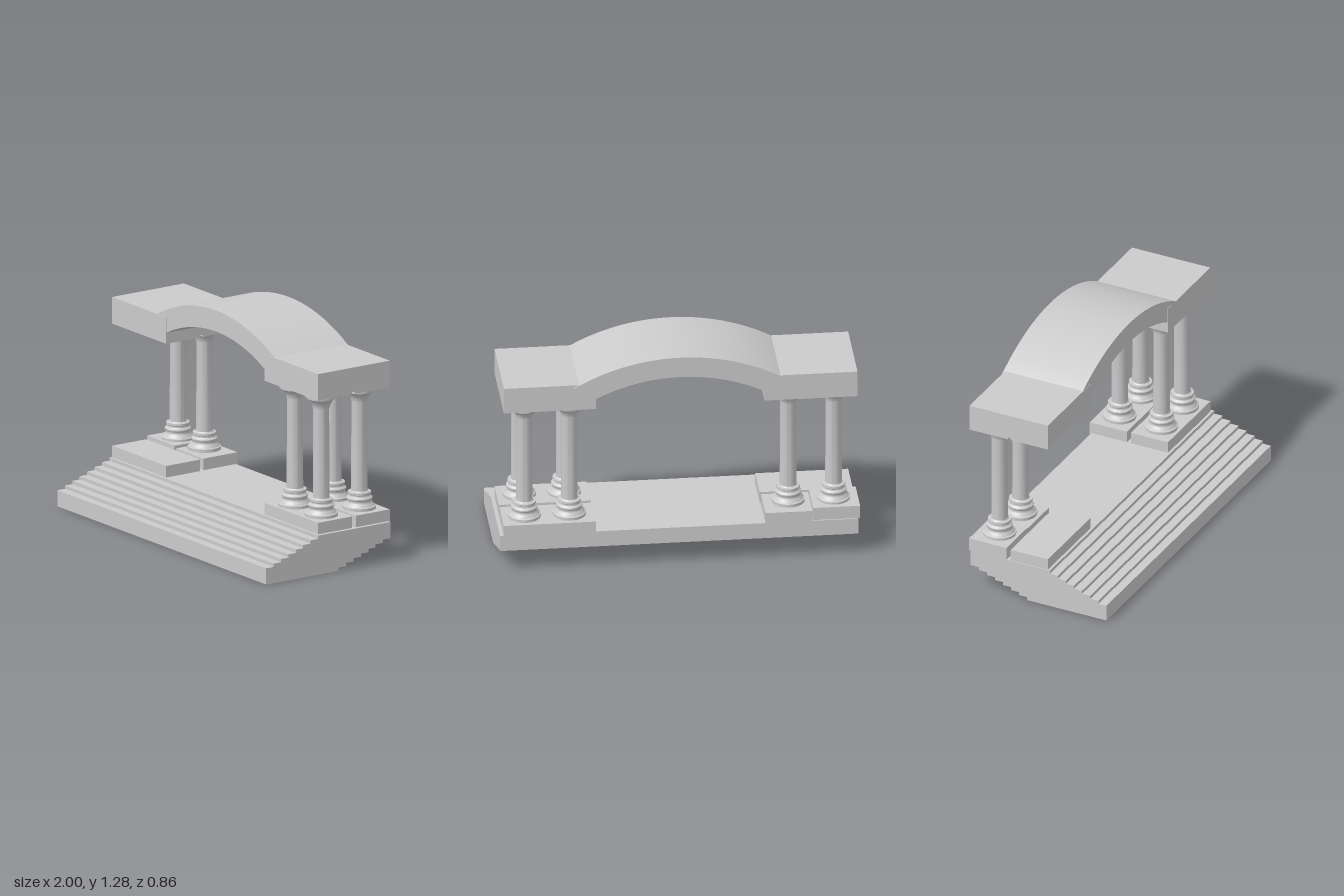
import * as THREE from 'three';
import { toCreasedNormals } from 'three/addons/utils/BufferGeometryUtils.js';

const material = new THREE.MeshStandardMaterial({ color: 0xcccccc });

export function createModel() {
  const group = new THREE.Group();

  const add = (name, geometry) => {
    const mesh = new THREE.Mesh(geometry, material);
    mesh.name = name;
    group.add(mesh);
    return mesh;
  };

  // Box given by its limits on each axis
  const box = (name, x0, x1, y0, y1, z0, z1) =>
    add(name, new THREE.BoxGeometry(x1 - x0, y1 - y0, z1 - z0))
      .position.set((x0 + x1) / 2, (y0 + y1) / 2, (z0 + z1) / 2);

  // Staircase: eight equal treads, each set back and raised, as one side profile (z, y)
  const steps = 8, run = 0.05, rise = 0.0187, tread = 0.093;
  const upper = [], lower = [];
  for (let i = 0; i < steps; i++) {
    const front = 0.43 - run * i, back = -0.06 - run * i, y = rise * i;
    upper.push([front, i ? y - rise + tread : 0], [front, y + tread]);
    lower.push([back, y], [back, i < steps - 1 ? y + rise : y + tread]);
  }
  const outline = [...upper, ...lower.reverse()].map(([z, y]) => new THREE.Vector2(-z, y));
  const stairs = new THREE.ExtrudeGeometry(new THREE.Shape(outline), { depth: 1.985, bevelEnabled: false });
  stairs.rotateY(Math.PI / 2).translate(-0.99, 0, 0);
  add('stairs', stairs);

  // Plinths
  box('leftFrontPlinth', 0.465, 0.975, 0.222, 0.29, -0.165, 0.065);
  box('leftBackPlinth', 0.465, 0.975, 0.216, 0.29, -0.42, -0.19);
  box('rightFrontPlinth', -0.985, -0.47, 0.222, 0.29, -0.165, 0.065);
  box('rightBackInnerPlinth', -0.735, -0.475, 0.222, 0.29, -0.42, -0.19);
  box('rightBackOuterPlinth', -1.0, -0.74, 0.23, 0.305, -0.415, -0.183);

  // Columns: moulded base, plain shaft, flared capital with an optional top disc
  const profile = [
    [0, 0.288], [0.092, 0.288], [0.092, 0.306], [0.083, 0.31], [0.079, 0.318], [0.071, 0.325],
    [0.068, 0.333], [0.069, 0.342], [0.073, 0.347], [0.073, 0.354], [0.066, 0.359],
    [0.061, 0.364], [0.06, 0.371], [0.065, 0.375], [0.065, 0.387], [0.052, 0.388],
    [0.046, 0.394], [0.044, 0.905], [0.047, 0.906], [0.048, 0.912], [0.052, 0.926],
    [0.061, 0.942], [0.073, 0.955], [0.081, 0.96], [0.082, 0.967],
  ];
  const column = (name, x, z, lift, disc) => {
    const top = disc ? [[0.088, 0.969], [0.088, 0.975], [0.095, 0.977], [0.095, 0.988], [0, 0.988]] : [[0, 0.967]];
    const points = [...profile, ...top].map(([r, y]) => new THREE.Vector2(r, y));
    const geometry = toCreasedNormals(new THREE.LatheGeometry(points, 40), 0.6);
    add(name, geometry).position.set(x, lift, z);
  };
  for (const x of [0.6, 0.85]) {
    column('leftFrontColumn', x, -0.045, 0, true);
    column('leftBackColumn', x, -0.303, 0, true);
  }
  for (const x of [-0.865, -0.613]) column('rightBackColumn', x, -0.295, 0.012, false);

  // Beams over each side, with a shallow groove between front and back below
  for (const [side, x0, x1] of [['left', 0.465, 0.975], ['right', -0.985, -0.47]]) {
    box(side + 'Beam', x0, x1, 1.0, 1.14, -0.42, 0.065);
    box(side + 'FrontBeamFoot', x0, x1, 0.988, 1.0, -0.165, 0.065);
    box(side + 'BackBeamFoot', x0, x1, 0.988, 1.0, -0.42, -0.183);
  }

  // Arched roof: a ring sector whose ends sink into the beams
  const centre = 0.131, half = 0.535;
  const arch = new THREE.Shape();
  arch.absarc(0, centre, 1.153, Math.PI / 2 - half, Math.PI / 2 + half, false);
  arch.absarc(0, centre, 1.033, Math.PI / 2 + half, Math.PI / 2 - half, true);
  const archGeometry = new THREE.ExtrudeGeometry(arch, { depth: 0.491, bevelEnabled: false, curveSegments: 32 });
  archGeometry.translate(0, 0, -0.428);
  add('archedRoof', toCreasedNormals(archGeometry, 0.5));

  return group;
}
